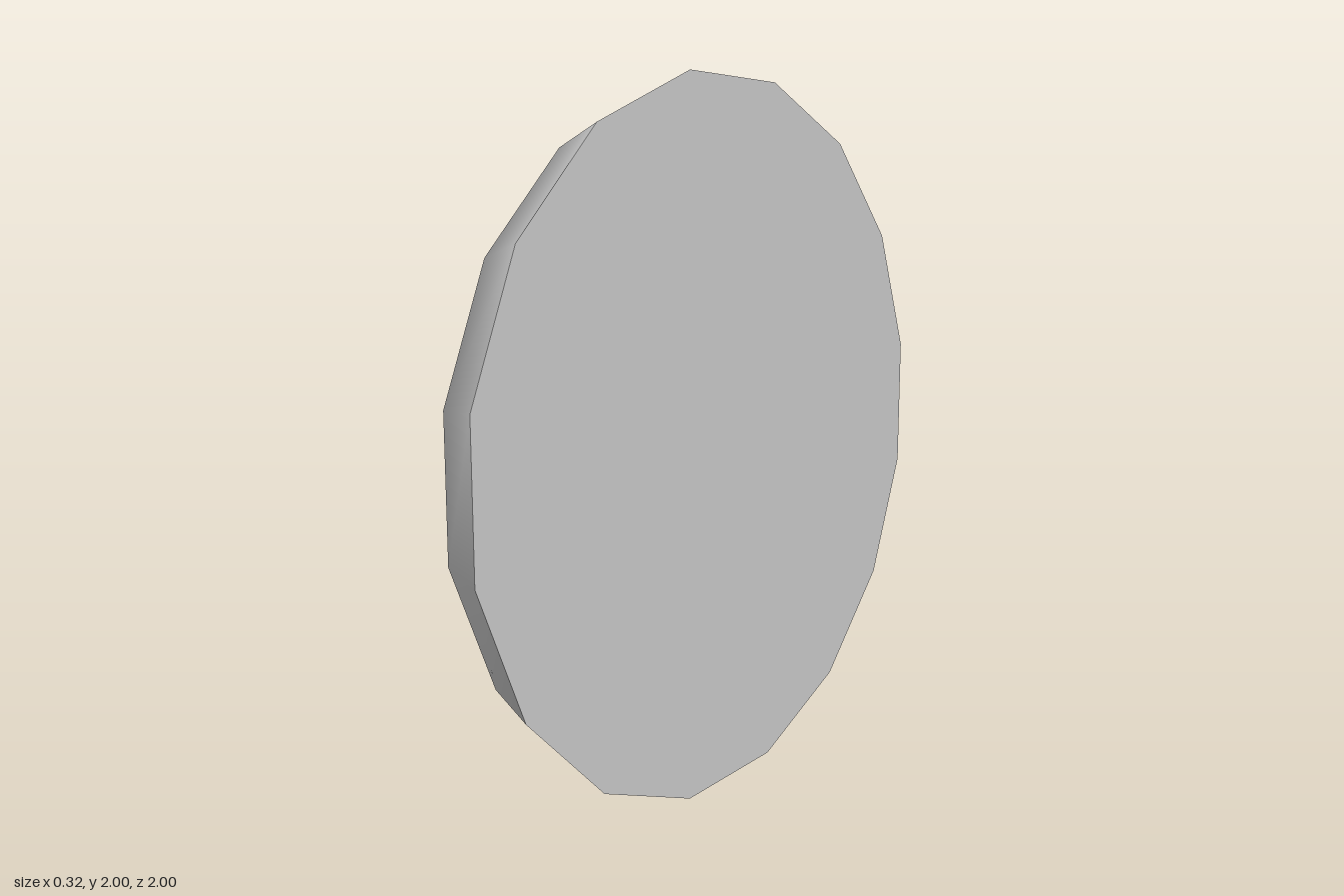
import * as THREE from 'three';

const SIDES = 16;
const material = new THREE.MeshStandardMaterial({ color: 0xcccccc });

// Revolves a [radius across flats, height] profile around the disc axis, smooth within the strip
function ring(name, profile) {
  const k = 1 / Math.cos(Math.PI / SIDES);
  const points = profile.map(([r, h]) => new THREE.Vector2(r * k, h));
  const geometry = new THREE.LatheGeometry(points, SIDES, Math.PI / SIDES);
  geometry.rotateZ(Math.PI / 2); // height now runs along -x
  const mesh = new THREE.Mesh(geometry, material);
  mesh.name = name;
  return mesh;
}

function part(name, ...meshes) {
  const group = new THREE.Group();
  group.name = name;
  group.add(...meshes);
  return group;
}

export function createModel() {
  const model = new THREE.Group();
  model.name = 'disc';

  // Wide base plate: flat face and a softly bevelled shoulder
  const plate = part('plate',
    ring('plateFace', [[0, -0.16], [1, -0.16]]),
    ring('plateShoulder', [[1, -0.16], [0.937, -0.005], [0.77, 0.037], [0.64, 0.037]]));

  // Narrow neck joining plate and cap
  const neck = ring('neck', [[0.655, 0.03], [0.655, 0.066]]);

  // Domed cap overhanging the neck
  const cap = part('cap',
    ring('capUnderside', [[0.64, 0.063], [0.73, 0.063]]),
    ring('capRim', [[0.73, 0.063], [0.735, 0.08], [0.694, 0.114]]),
    ring('capDome', [[0.694, 0.114], [0.55, 0.143], [0.3, 0.155], [0, 0.163]]));

  model.add(plate, neck, cap);
  for (const child of model.children) child.position.y = 1;
  return model;
}
